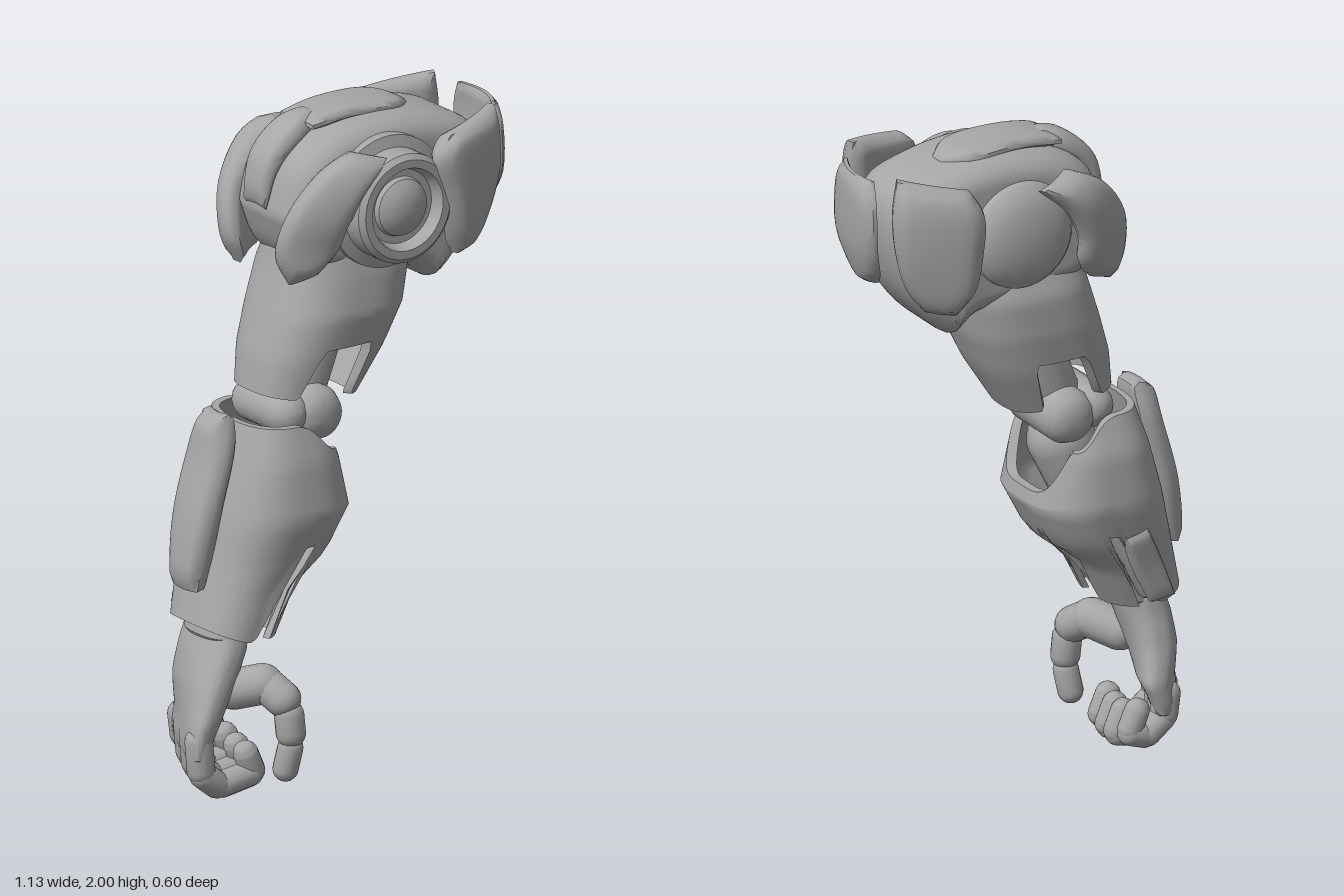
import * as THREE from 'three';
import { toCreasedNormals } from 'three/addons/utils/BufferGeometryUtils.js';

const V = (x, y, z) => new THREE.Vector3(x, y, z);
const { lerp, smoothstep } = THREE.MathUtils;

export function createModel() {
  const group = new THREE.Group();
  const grey = new THREE.MeshStandardMaterial({ color: 0xa6a6a6 });
  grey.name = 'armour grey';

  function add(name, geometry, crease = 0.7) {
    const mesh = new THREE.Mesh(toCreasedNormals(geometry, crease), grey);
    mesh.name = name;
    group.add(mesh);
    return mesh;
  }

  // Limb surface through sections [y, x0, x1, z0, z1, skew], trimmed by lo/hi per angle, level at mid.
  function limb(name, secs, lo, mid, hi, wall = 0, pow = 0.75) {
    const N = 96, M = 20, rows = [];
    if (wall) rows.push([0, 1 - wall]);
    else rows.push([0, 0], [0, 0.88]);
    for (let i = 0; i <= M; i++) rows.push([wall ? i / M : 0.04 + 0.92 * i / M, 1]);
    if (wall) for (let i = 0; i <= M; i++) rows.push([1 - i / M, 1 - wall]);
    else rows.push([1, 0.88], [1, 0]);
    const at = y => {
      let i = 0;
      while (i < secs.length - 2 && y < secs[i + 1][0]) i++;
      const a = secs[i], b = secs[i + 1];
      const t = THREE.MathUtils.clamp((a[0] - y) / (a[0] - b[0]), 0, 1);
      return a.map((n, k) => lerp(n, b[k], t));
    };
    const sp = n => Math.sign(n) * Math.pow(Math.abs(n), pow);
    const pos = [], idx = [];
    rows.forEach(([v, s], i) => {
      for (let j = 0; j <= N; j++) {
        const a = j / N * Math.PI * 2, c = Math.cos(a), d = Math.sin(a);
        const y = v < 0.5 ? lerp(lo(c, d), mid, v * 2) : lerp(mid, hi(c, d), v * 2 - 1);
        const [, x0, x1, z0, z1, skew = 0] = at(y);
        const z = (z0 + z1) / 2 + s * sp(d) * (z1 - z0) / 2;
        pos.push((x0 + x1) / 2 + s * sp(c) * (x1 - x0) / 2 + skew * (z1 - z), y, z);
        if (i && j) {
          const q = i * (N + 1) + j, p = q - N - 1;
          idx.push(p - 1, q - 1, q, p - 1, q, p);
        }
      }
    });
    const g = new THREE.BufferGeometry();
    g.setAttribute('position', new THREE.Float32BufferAttribute(pos, 3));
    g.setIndex(idx);
    return add(name, g);
  }

  // Pillowed armour plate spanning rows of [left, right] points.
  function plate(name, rows, normal, thick, bulge = 0) {
    const g = new THREE.BoxGeometry(1, 1, 1, 12, 16, 2), p = g.attributes.position;
    const L = new THREE.CatmullRomCurve3(rows.map(r => V(...r[0])));
    const R = new THREE.CatmullRomCurve3(rows.map(r => V(...r[1])));
    const n = V(...normal).normalize();
    const du = R.getPoint(0.5).sub(L.getPoint(0.5)), dv = L.getPoint(0.6).sub(L.getPoint(0.4));
    const hand = Math.sign(du.cross(dv).dot(n)) || 1;
    for (let i = 0; i < p.count; i++) {
      const u = p.getX(i) * 2, v = p.getY(i) * 2;
      const round = 0.3 + 0.7 * Math.sqrt((1 - u ** 6) * (1 - v ** 8));
      const q = L.getPoint(v / 2 + 0.5).lerp(R.getPoint(v / 2 + 0.5), u / 2 + 0.5);
      q.addScaledVector(n, hand * p.getZ(i) * thick * round + bulge * (1 - u * u));
      p.setXYZ(i, q.x, q.y, q.z);
    }
    return add(name, g, 0.9);
  }

  // Rounded link between two points.
  function link(name, a, b, r) {
    const d = b.clone().sub(a);
    const m = add(name, new THREE.CapsuleGeometry(r, d.length(), 6, 16), 1);
    m.position.copy(a).lerp(b, 0.5);
    m.quaternion.setFromUnitVectors(V(0, 1, 0), d.normalize());
    return m;
  }

  // Shoulder body
  const outline = [[-0.215, 1.72], [-0.165, 1.87], [-0.05, 1.95], [0.13, 1.975], [0.32, 1.95], [0.45, 1.89], [0.48, 1.76],
    [0.43, 1.58], [0.31, 1.45], [0.22, 1.5], [0.05, 1.52], [-0.14, 1.57]].map(p => new THREE.Vector2(...p));
  const bodyShape = new THREE.Shape(new THREE.SplineCurve([...outline, outline[0]]).getPoints(60).slice(0, -1));
  const body = add('shoulderBody', new THREE.ExtrudeGeometry(bodyShape, {
    depth: 0.16, bevelThickness: 0.09, bevelSize: 0.07, bevelOffset: -0.07, bevelSegments: 7, curveSegments: 24,
  }));
  body.position.z = -0.1;

  // Shoulder hub: ringed cap in front, plain dome behind
  const hub = (name, pts, sign, z) => {
    const m = add(name, new THREE.LatheGeometry(pts.map(p => new THREE.Vector2(...p)), 48), 0.5);
    m.rotation.x = sign * Math.PI / 2;
    m.position.set(0.1, 1.74, z);
  };
  hub('hubRing', [[0.2, 0], [0.2, 0.07], [0.165, 0.08], [0.165, 0.15], [0.15, 0.165], [0.125, 0.165], [0.112, 0.125],
    [0.09, 0.125], [0.085, 0.14], [0.06, 0.158], [0.03, 0.166], [0, 0.168]], 1, 0.1);
  hub('hubDome', [[0.2, 0], [0.2, 0.07], [0.165, 0.08], [0.16, 0.11], [0.14, 0.135], [0.1, 0.153], [0.05, 0.162],
    [0, 0.165]], -1, -0.1);

  // Crown plates
  plate('crownPlate', [[[-0.08, 1.965, 0.045], [-0.08, 1.965, -0.115]], [[0.05, 1.98, 0.05], [0.05, 1.98, -0.12]],
    [[0.22, 1.97, 0.05], [0.22, 1.97, -0.12]], [[0.295, 1.945, -0.01], [0.295, 1.945, -0.06]]], [0, 1, 0], 0.04, 0.002);
  plate('crestPlate', [[[-0.225, 1.74, 0.01], [-0.225, 1.74, -0.09]], [[-0.19, 1.86, 0.02], [-0.19, 1.86, -0.1]],
    [[-0.1, 1.94, 0.02], [-0.1, 1.94, -0.1]], [[-0.01, 1.97, -0.01], [-0.01, 1.97, -0.07]]], [-0.5, 0.9, 0], 0.06, 0.01);

  // Curved guards wrapping both sides of the hub
  for (const [name, f] of [['frontHubGuard', z => z], ['backHubGuard', z => -0.04 - z]])
    plate(name, [[[-0.04, 1.92, f(0.17)], [0.07, 1.89, f(0.22)]], [[-0.14, 1.87, f(0.16)], [-0.02, 1.81, f(0.23)]],
      [[-0.23, 1.75, f(0.13)], [-0.075, 1.71, f(0.21)]], [[-0.25, 1.62, f(0.1)], [-0.09, 1.63, f(0.18)]],
      [[-0.21, 1.53, f(0.11)], [-0.14, 1.56, f(0.15)]]], [-0.4, 0.25, Math.sign(f(1))], 0.085, 0.012);

  // Outer shoulder blades and end plate
  plate('frontBlade', [[[0.25, 1.935, 0.25], [0.455, 1.97, 0.18]], [[0.2, 1.88, 0.265], [0.46, 1.88, 0.19]],
    [[0.23, 1.77, 0.26], [0.455, 1.78, 0.19]], [[0.27, 1.64, 0.24], [0.41, 1.66, 0.19]],
    [[0.31, 1.55, 0.2], [0.36, 1.57, 0.18]]], [0.3, 0, 1], 0.085, 0.01);
  plate('backBlade', [[[0.3, 1.93, -0.24], [0.49, 1.97, -0.15]], [[0.265, 1.86, -0.265], [0.51, 1.87, -0.16]],
    [[0.265, 1.74, -0.26], [0.5, 1.75, -0.16]], [[0.28, 1.62, -0.24], [0.46, 1.63, -0.15]],
    [[0.32, 1.54, -0.2], [0.4, 1.55, -0.15]]], [0.45, 0, -1], 0.085, 0.01);
  plate('endPlate', [[[0.505, 1.95, 0.12], [0.53, 1.95, -0.08]], [[0.5, 1.88, 0.16], [0.545, 1.88, -0.12]],
    [[0.5, 1.74, 0.16], [0.535, 1.74, -0.11]], [[0.485, 1.66, 0.12], [0.51, 1.66, -0.08]],
    [[0.475, 1.61, 0.06], [0.485, 1.61, -0.03]]], [1, 0, 0.15], 0.04, 0.022);

  // Upper arm shell with a notch over the elbow on both sides
  limb('upperArm', [[1.64, -0.15, 0.24, -0.17, 0.14], [1.53, -0.175, 0.25, -0.215, 0.165], [1.41, -0.215, 0.22, -0.215, 0.18],
    [1.29, -0.25, 0.165, -0.2, 0.16], [1.14, -0.27, 0.07, -0.165, 0.125]],
  c => lerp(lerp(1.185, 1.145, (c + 1) / 2), 1.32, 1 - smoothstep(Math.abs(c), 0.26, 0.48)), 1.41, () => 1.62, 0.16);

  // Elbow joint
  link('elbowRod', V(0.02, 1.45, -0.02), V(-0.1, 1.14, -0.02), 0.085);
  const pin = add('elbowPin', new THREE.LatheGeometry([[0, -0.155], [0.04, -0.15], [0.068, -0.135], [0.083, -0.1], [0.083, 0.1],
    [0.068, 0.135], [0.04, 0.15], [0, 0.155]].map(p => new THREE.Vector2(...p)), 32), 0.9);
  pin.rotation.x = Math.PI / 2;
  pin.position.set(-0.095, 1.11, -0.02);
  link('elbowKnuckle', V(-0.185, 1.12, 0.06), V(-0.185, 1.12, -0.1), 0.065);
  link('forearmCore', V(-0.13, 1.0, -0.02), V(-0.24, 0.78, -0.02), 0.1);

  // Forearm shell: open inner elbow and slots above the wrist
  const slot = (c, d) => {
    const side = 1 - smoothstep(Math.abs(c - 0.15), 0.08, 0.16);
    const inner = c > 0 ? 1 - smoothstep(Math.abs(d), 0.1, 0.17) : 0;
    return Math.max(lerp(0.485, 0.75, side), lerp(0.485, 0.67, inner)) + (c < 0 ? -c * 0.04 : 0);
  };
  limb('forearm', [[1.11, -0.33, -0.06, -0.19, 0.16], [1.0, -0.365, -0.025, -0.235, 0.195], [0.84, -0.41, 0.01, -0.25, 0.215],
    [0.71, -0.44, -0.055, -0.225, 0.185], [0.63, -0.46, -0.165, -0.195, 0.17], [0.48, -0.5, -0.245, -0.16, 0.165]],
  slot, 0.84, c => 1.11 - 0.09 * smoothstep(c, -0.1, 0.6) - 0.14 * smoothstep(c, 0.65, 1), 0.14);
  limb('forearmInner', [[0.8, -0.36, -0.13, -0.16, 0.12], [0.64, -0.42, -0.22, -0.14, 0.11], [0.46, -0.46, -0.28, -0.125, 0.11]],
    () => 0.47, 0.64, () => 0.8);
  for (const z of [0.13, -0.15]) link('slotRod', V(-0.235, 0.74, z), V(-0.345, 0.53, z * 0.95), 0.028);
  plate('rearSpine', [[[-0.375, 1.14, 0.03], [-0.375, 1.14, -0.07]], [[-0.39, 1.04, 0.06], [-0.39, 1.04, -0.1]],
    [[-0.44, 0.85, 0.065], [-0.44, 0.85, -0.105]], [[-0.475, 0.63, 0.04], [-0.475, 0.63, -0.08]]], [-1, -0.25, 0], 0.085, 0.01);
  plate('sideFairing', [[[-0.3, 0.76, -0.22], [-0.22, 0.74, -0.22]], [[-0.36, 0.64, -0.2], [-0.27, 0.62, -0.2]],
    [[-0.41, 0.52, -0.19], [-0.33, 0.51, -0.19]]], [0, 0, -1], 0.05);

  // Hand, with the knuckle line skewed towards the palm at the little finger
  const skew = 0.45;
  limb('palm', [[0.52, -0.43, -0.31, -0.13, 0.1, 0], [0.44, -0.47, -0.33, -0.14, 0.115, 0.05], [0.34, -0.525, -0.38, -0.165, 0.125, 0.22],
    [0.24, -0.57, -0.44, -0.195, 0.13, skew], [0.18, -0.575, -0.47, -0.195, 0.125, skew], [0.12, -0.565, -0.49, -0.185, 0.12, skew]],
  () => 0.13, 0.3, () => 0.52);

  // Curled fingers: z, reach in x, lift in y
  [[0.085, -0.32, 0], [0.01, -0.3, 0], [-0.066, -0.285, 0.008], [-0.145, -0.285, 0.035]].forEach(([z, x, lift], i) => {
    const k = -0.53 + skew * (0.12 - z);
    const path = [V(k, 0.2, z), V(k + 0.01, 0.09 + lift, z), V(k + 0.07, 0.042 + lift, z), V(x, 0.06 + lift, z),
      V(x - 0.03, 0.13 + lift, z)];
    for (let j = 0; j < 4; j++)
      link('finger' + (i + 1), path[j].clone().lerp(path[j + 1], 0.1), path[j].clone().lerp(path[j + 1], 0.9), 0.042 - j * 0.0015);
  });

  // Thumb
  link('thumbBase', V(-0.38, 0.32, 0.07), V(-0.325, 0.345, 0.14), 0.06);
  link('thumbKnuckle', V(-0.32, 0.345, 0.145), V(-0.298, 0.31, 0.2), 0.054);
  link('thumbMiddle', V(-0.288, 0.265, 0.218), V(-0.285, 0.21, 0.222), 0.044);
  link('thumbTip', V(-0.285, 0.165, 0.22), V(-0.295, 0.1, 0.21), 0.038);
  return group;
}
